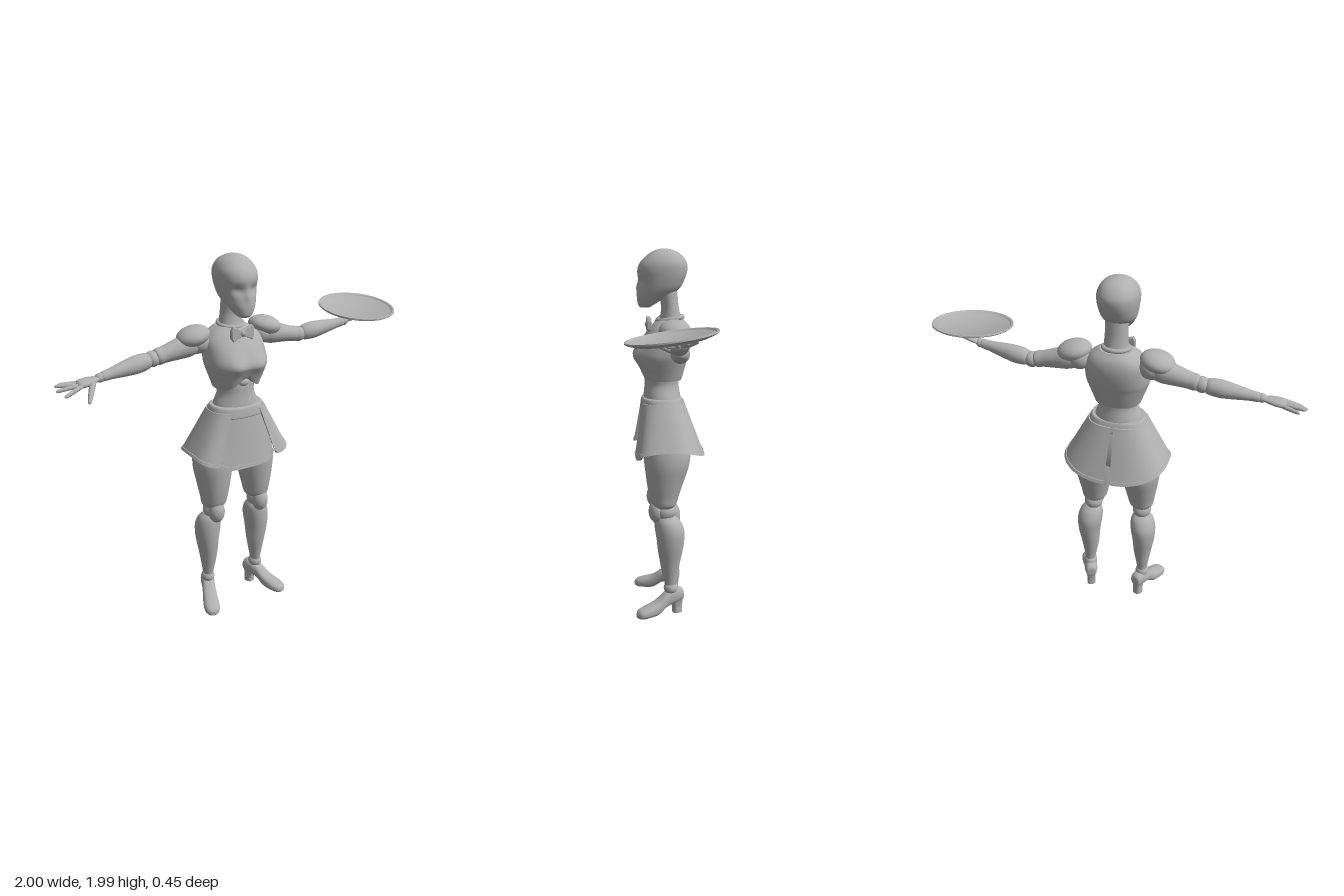
import * as THREE from 'three';
import { toCreasedNormals } from 'three/addons/utils/BufferGeometryUtils.js';

const grey = new THREE.MeshStandardMaterial({ color: 0xb0b0b0 });
grey.name = 'plain grey';
const V = (x, y, z) => new THREE.Vector3(x, y, z);
const bump = (d, w) => Math.exp(-(d * d) / (w * w));
const spow = (v, e) => Math.sign(v) * Math.abs(v) ** e;

function add(parent, name, geometry) {
  const mesh = new THREE.Mesh(geometry, grey);
  mesh.name = name;
  parent.add(mesh);
  return mesh;
}

// Smooth a short table of rows into n + 1 rows
function smoothRows(rows, n) {
  const out = [];
  for (let k = 0; k <= n; k++) {
    const f = (k / n) * (rows.length - 1), i = Math.min(Math.floor(f), rows.length - 2), t = f - i;
    const at = (q) => rows[Math.max(0, Math.min(rows.length - 1, q))];
    out.push(rows[i].map((_, c) => {
      const p0 = at(i - 1)[c], p1 = at(i)[c], p2 = at(i + 1)[c], p3 = at(i + 2)[c];
      return p1 + 0.5 * t * (p2 - p0 + t * (2 * p0 - 5 * p1 + 4 * p2 - p3 + t * (3 * (p1 - p2) + p3 - p0)));
    }));
  }
  return out;
}

// Skin rows of [height, half width, front z, back z, centre x] with closed ends
function loft(rows, { power = 2, deform = null, seg = 40 } = {}) {
  const rings = smoothRows(rows.map((r) => [r[0], r[1], r[2], r[3], r[4] || 0]), rows.length * 5);
  const pos = [], idx = [], e = 2 / power, last = rings.length - 1;
  const ring = ([y, w, f, b, cx]) => {
    for (let j = 0; j < seg; j++) {
      const a = (j / seg) * Math.PI * 2;
      const p = V(cx + w * spow(Math.sin(a), e), y, (f + b) / 2 + ((f - b) / 2) * spow(Math.cos(a), e));
      if (deform) deform(p);
      pos.push(p.x, p.y, p.z);
    }
  };
  rings.forEach(ring);
  for (let i = 0; i < last; i++) for (let j = 0; j < seg; j++) {
    const a = i * seg + j, b = i * seg + ((j + 1) % seg);
    idx.push(a, b, a + seg, b, b + seg, a + seg);
  }
  for (const i of [0, last]) {
    const start = pos.length / 3, r = rings[i], c = V(r[4], r[0], (r[2] + r[3]) / 2);
    ring(r);
    if (deform) deform(c);
    pos.push(c.x, c.y, c.z);
    for (let j = 0; j < seg; j++) {
      const a = start + j, b = start + ((j + 1) % seg);
      idx.push(...(i ? [a, b, start + seg] : [b, a, start + seg]));
    }
  }
  const g = new THREE.BufferGeometry();
  g.setAttribute('position', new THREE.Float32BufferAttribute(pos, 3));
  g.setIndex(idx);
  g.computeVertexNormals();
  return g;
}

// Turned shape from a to b with a profile of [fraction, radius]
function limb(parent, name, a, b, profile) {
  const len = a.distanceTo(b);
  const pts = smoothRows(profile, profile.length * 4).map(([t, r]) => new THREE.Vector2(Math.max(0, r), t * len));
  const mesh = add(parent, name, new THREE.LatheGeometry(pts, 20));
  mesh.position.copy(a);
  mesh.quaternion.setFromUnitVectors(V(0, 1, 0), b.clone().sub(a).normalize());
  return mesh;
}

function ball(parent, name, x, y, z, rx, ry = rx, rz = rx) {
  const mesh = add(parent, name, new THREE.SphereGeometry(1, 28, 18));
  mesh.position.set(x, y, z);
  mesh.scale.set(rx, ry, rz);
  return mesh;
}

// Curved skirt plate between two angles, v running from belt to hem
function panel(a0, a1, hem, offset, flare, v0 = 0) {
  const m = 40, n = 10, ring = 2 * (n + 1), pos = [], idx = [];
  for (let j = 0; j <= m; j++) {
    const a = a0 + (a1 - a0) * (j / m), thick = j % m ? 0.014 : 0.001;
    for (let k = 0; k < ring; k++) {
      const inner = k > n, v = v0 + (1 - v0) * ((inner ? ring - 1 - k : k) / n);
      const grow = offset - (inner ? thick : 0) + flare * v * bump(Math.abs(a) - 0.85, 0.38);
      const w = 0.147 + 0.123 * v + grow, f = 0.113 + 0.037 * v + grow, b = -0.1 - 0.11 * v - grow;
      pos.push(w * spow(Math.sin(a), 0.8), 1.18 - v * (1.18 - hem(a)), (f + b) / 2 + ((f - b) / 2) * spow(Math.cos(a), 0.8));
    }
  }
  for (let j = 0; j < m; j++) for (let k = 0; k < ring; k++) {
    const a = j * ring + k, b = j * ring + ((k + 1) % ring);
    idx.push(a, b, a + ring, b, b + ring, a + ring);
  }
  const g = new THREE.BufferGeometry();
  g.setAttribute('position', new THREE.Float32BufferAttribute(pos, 3));
  g.setIndex(idx);
  return toCreasedNormals(g, 0.7);
}

function buildHead(body) {
  add(body, 'neck', loft([[1.56, 0.085, 0.04, -0.12], [1.62, 0.068, 0.02, -0.1], [1.69, 0.06, 0.01, -0.085], [1.79, 0.06, 0.03, -0.075]]));
  const collar = add(body, 'collar', new THREE.TorusGeometry(0.066, 0.012, 10, 36));
  collar.rotation.x = Math.PI / 2 + 0.15;
  collar.position.set(0, 1.625, -0.04);
  add(body, 'head', loft([
    [1.685, 0.028, 0.12, 0.07], [1.7, 0.045, 0.132, 0.045], [1.74, 0.07, 0.138, -0.02], [1.78, 0.088, 0.134, -0.085],
    [1.83, 0.1, 0.132, -0.115], [1.88, 0.106, 0.135, -0.13], [1.92, 0.102, 0.12, -0.127], [1.96, 0.078, 0.08, -0.098],
    [1.983, 0.042, 0.04, -0.055], [1.991, 0.008, 0.002, -0.014]], {
    power: 2.2, seg: 64,
    // eye hollows and a soft nose ridge
    deform: (p) => {
      if (p.z < 0.03) return;
      p.z -= 0.016 * bump(Math.abs(p.x) - 0.045, 0.03) * bump(p.y - 1.825, 0.025);
      p.z += 0.008 * bump(p.x, 0.014) * bump(p.y - 1.79, 0.03);
    } }));
}

function buildTorso(body) {
  add(body, 'chest', loft([
    [1.3, 0.124, 0.115, -0.1], [1.34, 0.138, 0.128, -0.112], [1.4, 0.16, 0.142, -0.128], [1.44, 0.17, 0.146, -0.14],
    [1.5, 0.168, 0.122, -0.15], [1.55, 0.16, 0.09, -0.15], [1.59, 0.13, 0.06, -0.138], [1.62, 0.085, 0.025, -0.112]], {
    power: 2.3, seg: 64,
    // bust, and the arch in the lower front edge
    deform: (p) => {
      if (p.z < 0) return;
      p.z += 0.022 * bump(Math.abs(p.x) - 0.075, 0.055) * bump(p.y - 1.435, 0.055);
      p.y += 0.06 * bump(p.x, 0.06) * Math.max(0, 1 - (p.y - 1.3) / 0.12);
    } }));
  add(body, 'abdomen', loft([[1.16, 0.14, 0.108, -0.1], [1.21, 0.125, 0.106, -0.095], [1.27, 0.102, 0.1, -0.085], [1.33, 0.108, 0.098, -0.085], [1.42, 0.115, 0.09, -0.09]]));
  ball(body, 'navelJoint', 0, 1.335, 0.08, 0.035, 0.025, 0.03);
  add(body, 'pelvis', loft([[0.91, 0.07, 0.06, -0.09], [0.95, 0.15, 0.085, -0.13], [1.05, 0.165, 0.1, -0.13], [1.17, 0.14, 0.105, -0.095]]));
  add(body, 'belt', loft([[1.145, 0.164, 0.122, -0.114], [1.155, 0.166, 0.124, -0.116], [1.195, 0.15, 0.118, -0.102], [1.205, 0.142, 0.11, -0.096]], { power: 2.4 }));

  // bow tie: two flared loops and a knot
  const wing = new THREE.Shape([[0, 0.012], [0.03, 0.024], [0.056, 0.034], [0.064, 0.02], [0.064, -0.02], [0.056, -0.034], [0.03, -0.022], [0, -0.012]].map(([x, y]) => new THREE.Vector2(x, y)));
  const wingGeo = new THREE.ExtrudeGeometry(wing, { depth: 0.012, bevelSize: 0.004, bevelThickness: 0.006, bevelSegments: 3 });
  for (const s of [0, Math.PI]) {
    const w = add(body, 'bowTieWing', wingGeo);
    w.position.set(0, 1.595, s ? 0.082 : 0.07);
    w.rotation.y = s;
  }
  ball(body, 'bowTieKnot', 0, 1.595, 0.077, 0.017, 0.019, 0.02);

  // skirt plates with raised hems
  const frontHem = (a) => 0.868 + 0.05 * (Math.abs(a) / 0.62) ** 5;
  const sideHem = (a) => 0.92 - 0.03 * Math.cos(2 * a) + 0.025 * bump(Math.abs(a) - 0.5, 0.05);
  for (const [v, o, part] of [[0, 0, ''], [0.94, 0.004, 'Hem']]) {
    add(body, 'frontSkirtPanel' + part, panel(-0.62, 0.62, frontHem, o, 0, v));
    add(body, 'leftSkirtPanel' + part, panel(0.5, Math.PI - 0.025, sideHem, o + 0.014, 0.03, v));
    add(body, 'rightSkirtPanel' + part, panel(Math.PI + 0.025, Math.PI * 2 - 0.5, (a) => sideHem(Math.PI * 2 - a), o + 0.014, 0, v));
  }
  // the right plates mirror the left flare
  body.children.filter((c) => c.name.startsWith('rightSkirtPanel')).forEach((c) => {
    const v0 = c.name.endsWith('Hem') ? 0.94 : 0;
    c.geometry = panel(-Math.PI + 0.025, -0.5, sideHem, v0 ? 0.018 : 0.014, 0.03, v0);
  });
}

function buildLeg(body, s, side) {
  const leg = new THREE.Group();
  leg.name = side + 'Leg';
  body.add(leg);
  const x = (rows) => rows.map((r) => [...r.slice(0, 4), r[4] * s]);
  add(leg, 'thigh', loft(x([[0.615, 0.05, 0.05, -0.05, 0.142], [0.635, 0.068, 0.07, -0.066, 0.139], [0.68, 0.077, 0.083, -0.08, 0.137], [0.76, 0.092, 0.096, -0.106, 0.136], [0.86, 0.107, 0.105, -0.137, 0.133], [0.95, 0.107, 0.1, -0.14, 0.12], [1.06, 0.09, 0.085, -0.11, 0.1]])));
  ball(leg, 'kneeJoint', s * 0.145, 0.59, -0.005, 0.052, 0.052, 0.055);
  ball(leg, 'kneeCap', s * 0.143, 0.592, 0.04, 0.046, 0.066, 0.046);
  add(leg, 'shin', loft(x([[0.165, 0.028, -0.002, -0.066, 0.162], [0.2, 0.033, 0.004, -0.068, 0.161], [0.3, 0.05, 0.025, -0.086, 0.16], [0.4, 0.063, 0.04, -0.105, 0.164], [0.48, 0.071, 0.045, -0.11, 0.16], [0.535, 0.064, 0.042, -0.088, 0.153], [0.565, 0.044, 0.025, -0.055, 0.148]])));
  const shoe = new THREE.Group();
  shoe.name = 'shoe';
  shoe.position.set(s * 0.162, 0, -0.035);
  shoe.rotation.y = s * 0.38;
  leg.add(shoe);
  ball(shoe, 'ankleJoint', 0, 0.15, 0, 0.038, 0.036, 0.04);
  // shoe rows are [z, half width, -sole, -top]
  add(shoe, 'shoeUpper', loft([[-0.072, 0.018, -0.085, -0.12], [-0.065, 0.031, -0.07, -0.14], [-0.03, 0.038, -0.06, -0.152], [0.03, 0.037, -0.045, -0.13], [0.085, 0.042, -0.008, -0.088], [0.15, 0.045, 0, -0.062], [0.188, 0.035, 0, -0.048], [0.204, 0.012, -0.008, -0.03]], { power: 2.4 }).rotateX(Math.PI / 2));
  add(shoe, 'heel', loft([[0, 0.025, -0.012, -0.066], [0.04, 0.024, -0.01, -0.066], [0.1, 0.032, 0.015, -0.072]], { power: 3 }));
}

// Arm with x mirrored by s; fingers run from the knuckles to the given tips
function buildArm(body, s, side, wrist, knuckle, tips, thumb) {
  const arm = new THREE.Group();
  arm.name = side + 'Arm';
  body.add(arm);
  const elbow = V(s * 0.452, 1.495, -0.06), root = V(s * 0.18, 1.55, -0.055);
  const cap = ball(arm, 'shoulderCap', s * 0.22, 1.583, -0.05, 0.092, 0.052, 0.084);
  cap.rotation.z = -s * 0.22;
  ball(arm, 'shoulderJoint', s * 0.19, 1.55, -0.055, 0.066);
  limb(arm, 'upperArm', root, elbow, [[0, 0], [0.03, 0.045], [0.25, 0.06], [0.5, 0.053], [0.75, 0.044], [0.92, 0.04], [0.96, 0]]);
  ball(arm, 'elbowJoint', elbow.x, elbow.y, elbow.z, 0.042);
  limb(arm, 'forearm', elbow, wrist, [[0.06, 0], [0.08, 0.037], [0.28, 0.047], [0.5, 0.041], [0.8, 0.028], [0.96, 0.023], [1, 0]]);
  ball(arm, 'wristJoint', wrist.x, wrist.y, wrist.z, 0.024);
  const palm = limb(arm, 'palm', wrist, knuckle, [[-0.05, 0], [0, 0.018], [0.4, 0.036], [0.8, 0.042], [1, 0.032], [1.08, 0]]);
  palm.scale.x = 0.48;
  const finger = [[-0.1, 0], [0, 0.01], [0.5, 0.0105], [0.9, 0.008], [1, 0]];
  tips.forEach((tip, i) => limb(arm, 'finger', knuckle.clone().add(V(-s * 0.01, 0, -0.03 + i * 0.02)), tip, finger));
  limb(arm, 'thumb', wrist.clone().lerp(knuckle, 0.35).add(V(0, 0, 0.015)), thumb, [[-0.1, 0], [0, 0.015], [0.5, 0.014], [0.9, 0.009], [1, 0]]);
}

export function createModel() {
  const model = new THREE.Group();
  model.name = 'servingMannequin';
  const body = new THREE.Group();
  body.name = 'body';
  body.position.x = -0.022;
  model.add(body);
  buildHead(body);
  buildTorso(body);
  buildLeg(body, 1, 'left');
  buildLeg(body, -1, 'right');
  buildArm(body, -1, 'right', V(-0.75, 1.455, -0.035), V(-0.865, 1.44, -0.03),
    [V(-0.945, 1.435, -0.095), V(-0.972, 1.44, -0.065), V(-0.978, 1.425, -0.03), V(-0.955, 1.405, 0.02)], V(-0.85, 1.365, 0.062));
  buildArm(body, 1, 'left', V(0.755, 1.532, -0.035), V(0.865, 1.582, -0.025),
    [V(0.94, 1.612, -0.1), V(0.967, 1.604, -0.055), V(0.97, 1.598, -0.01), V(0.95, 1.592, 0.035)], V(0.83, 1.585, 0.075));

  // round tray with a raised rim, tilted forward
  const profile = [[0, -0.008], [0.17, -0.008], [0.205, 0.004], [0.214, 0.01], [0.213, 0.017], [0.204, 0.017], [0.195, 0.009], [0.185, 0.008], [0.172, 0.001], [0, 0.001]];
  const tray = add(model, 'tray', toCreasedNormals(new THREE.LatheGeometry(profile.map(([r, y]) => new THREE.Vector2(r, y)), 64), 0.6));
  tray.position.set(0.786, 1.606, 0.004);
  tray.rotation.x = 0.14;
  return model;
}
